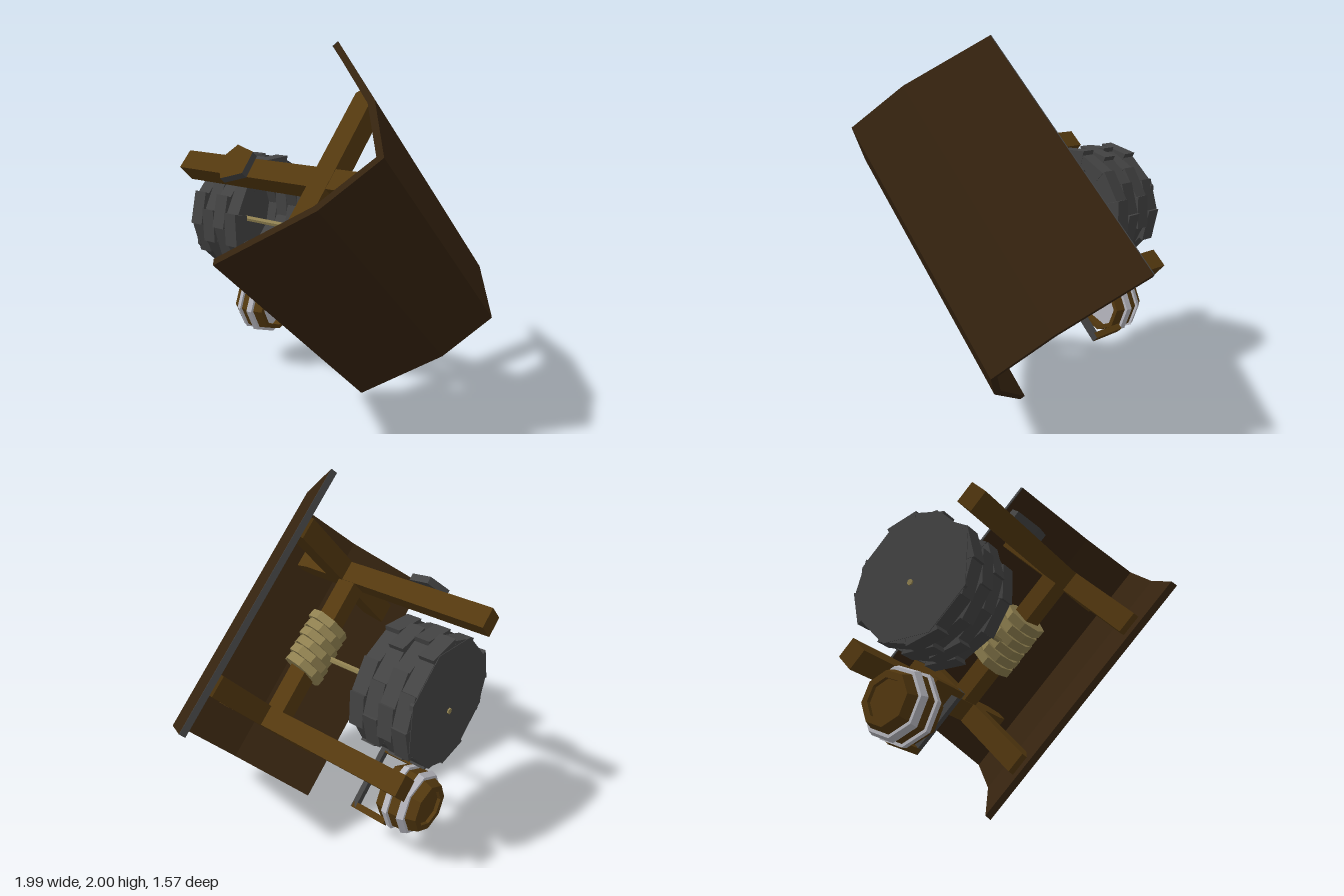
import * as THREE from 'three';

const mat = (color) => new THREE.MeshStandardMaterial({ color, flatShading: true, side: THREE.DoubleSide });
const roofWood = mat(0x35230f), wood = mat(0x54390f), stone = mat(0x434343);
const ropeTan = mat(0x8f8050), hoopGrey = mat(0xb8b8c0);

function add(parent, name, geometry, material, x = 0, y = 0, z = 0) {
  const mesh = new THREE.Mesh(geometry, material);
  mesh.name = name;
  mesh.position.set(x, y, z);
  parent.add(mesh);
  return mesh;
}

// Extrude a 2D outline, centred on its depth
function slab(points, depth) {
  const shape = new THREE.Shape(points.map(([x, y]) => new THREE.Vector2(x, y)));
  return new THREE.ExtrudeGeometry(shape, { depth, bevelEnabled: false }).translate(0, 0, -depth / 2);
}

// Block of a ring: sector with straight inner and outer faces
function brickGeometry(inner, outer, angle, height) {
  const c = Math.cos(angle / 2), s = Math.sin(angle / 2);
  return slab([[inner * c, -inner * s], [outer * c, -outer * s], [outer * c, outer * s], [inner * c, inner * s]], height)
    .rotateX(-Math.PI / 2);
}

function buildWell() {
  const well = new THREE.Group();
  well.name = 'stoneWell';
  const rows = 4, count = 12, rowHeight = 0.35 / rows, step = (Math.PI * 2) / count;
  for (let r = 0; r < rows; r++) {
    for (let i = 0; i < count; i++) {
      const outer = 0.352 + 0.013 * ((i * 5 + r * 3) % 3 - 1);
      const brick = add(well, 'brick', brickGeometry(0.27, outer, step * 0.99, rowHeight * 0.98), stone,
        0, rowHeight * (r + 0.5), 0);
      brick.rotation.y = step * (i + (r % 2) / 2);
    }
  }
  const floor = add(well, 'wellFloor', new THREE.CylinderGeometry(0.35, 0.35, 0.02, 8), stone, 0, 0.008, 0);
  floor.rotation.y = Math.PI / 8;
  return well;
}

function buildRoof() {
  const roof = new THREE.Group();
  roof.name = 'roof';
  const outline = [[-0.65, 0.872], [-0.3, 1.265], [0, 1.46], [0.3, 1.265], [0.65, 0.872],
    [0.62, 0.855], [0.28, 1.235], [0, 1.42], [-0.28, 1.235], [-0.62, 0.855]];
  add(roof, 'roofPanels', slab(outline, 1.53).rotateY(-Math.PI / 2), roofWood);
  // Grey trim along one eave
  const trim = add(roof, 'eaveTrim', new THREE.BoxGeometry(1.53, 0.004, 0.036), stone, 0, 0.861, -0.636);
  trim.rotation.x = 0.515;
  return roof;
}

function buildFrame() {
  const frame = new THREE.Group();
  frame.name = 'frame';
  const w = 0.058;
  for (const side of [-1, 1]) {
    const x = side * 0.472;
    add(frame, 'post', slab([[-w, 0], [w, 0], [w, 1.2], [0.03, 1.29], [-0.03, 1.29], [-w, 1.2]], 2 * w)
      .rotateY(Math.PI / 2), wood, x, 0, 0);
    add(frame, 'crossBeam', slab([[-0.52, -w], [0.52, -w], [0.555, -0.025], [0.48, w], [-0.48, w], [-0.555, -0.025]], 0.12)
      .rotateY(Math.PI / 2), wood, x, 0.98, 0);
  }
  add(frame, 'axle', new THREE.BoxGeometry(0.94, 0.11, 0.11), wood, 0, 0.89, 0);
  // Five-sided plate on the outside of one post
  const plate = add(frame, 'postPlate', new THREE.CylinderGeometry(0.115, 0.115, 0.04, 5), [stone, wood, stone],
    -0.55, 0.42, 0);
  plate.rotation.set(0.25, 0, Math.PI / 2);
  return frame;
}

function buildRope() {
  const rope = new THREE.Group();
  rope.name = 'rope';
  for (let i = 0; i < 6; i++) {
    const coil = add(rope, 'ropeCoil', new THREE.CylinderGeometry(0.125, 0.125, 0.05, 8).rotateZ(Math.PI / 2), ropeTan,
      (i - 2.5) * 0.055, 0.89, 0);
    coil.rotation.set(i * 0.39, 0.15, 0.15, 'YZX');
  }
  add(rope, 'hangingRope', new THREE.CylinderGeometry(0.017, 0.017, 0.87, 6), ropeTan, 0.025, 0.425, 0.03);
  return rope;
}

function buildBucket() {
  const bucket = new THREE.Group();
  bucket.name = 'bucket';
  const profile = [[0, 0.02], [0.1, 0.02], [0.1, 0], [0.135, 0], [0.17, 0.09], [0.175, 0.15], [0.155, 0.24],
    [0.13, 0.24], [0.14, 0.15], [0.11, 0.03], [0, 0.03]].map(([x, y]) => new THREE.Vector2(x, y));
  add(bucket, 'barrel', new THREE.LatheGeometry(profile, 8), wood);
  for (const [y, r0, r1] of [[0.07, 0.172, 0.186], [0.165, 0.192, 0.186]]) {
    add(bucket, 'hoop', new THREE.CylinderGeometry(r1, r0, 0.035, 8, 1), hoopGrey, 0, y, 0);
  }
  // Handle
  for (const side of [-1, 1]) {
    add(bucket, 'handleArm', new THREE.BoxGeometry(0.035, 0.22, 0.04), wood, side * 0.175, 0.3, 0);
  }
  add(bucket, 'handleBar', new THREE.BoxGeometry(0.385, 0.03, 0.04), stone, 0, 0.4, 0);
  bucket.position.set(0.49, -0.01, 0.36);
  return bucket;
}

export function createModel() {
  const model = new THREE.Group();
  model.name = 'wishingWell';
  const body = new THREE.Group();
  body.name = 'tippedWell';
  body.add(buildWell(), buildRoof(), buildFrame(), buildRope(), buildBucket());
  // The whole well lies on its back corner: its own up axis points toward the front
  const up = new THREE.Vector3(0.12, 0, 0.993).normalize();
  const depth = new THREE.Vector3(0.722, -0.684, -0.1).cross(up).normalize();
  const along = new THREE.Vector3().crossVectors(up, depth);
  body.quaternion.setFromRotationMatrix(new THREE.Matrix4().makeBasis(along, up, depth));
  body.position.set(-0.11, 1.0, -0.735);
  model.add(body);
  return model;
}
